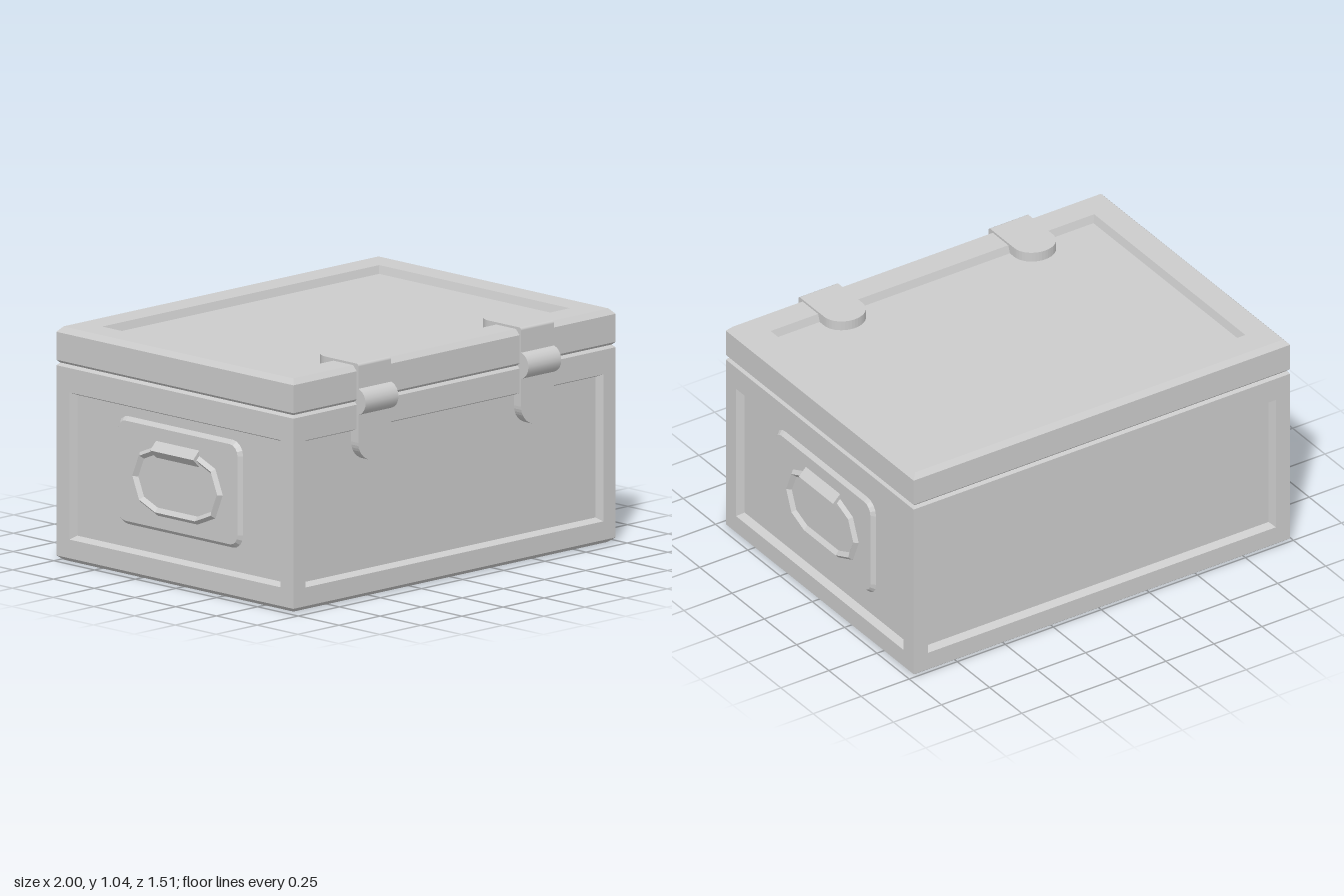
import * as THREE from 'three';

const flat = new THREE.MeshStandardMaterial({ color: 0xcccccc, flatShading: true });
const smooth = new THREE.MeshStandardMaterial({ color: 0xcccccc });

// Half width and half depth of the case
const W = 0.98, D = 0.7275;

// Directions a face can look in: (u, v, out) -> (x, y, z)
const FRONT = (u, v, w) => [u, v, w];
const BACK = (u, v, w) => [-u, v, -w];
const LEFT = (u, v, w) => [w, v, -u];
const RIGHT = (u, v, w) => [-w, v, u];
const TOP = (u, v, w) => [u, w, -v];
const BOTTOM = (u, v, w) => [u, -w, v];

// Counterclockwise rectangle with optional rounded corners, at distance w
function loop(hw, hh, cv, w, r = 0, n = 0) {
  const pts = [];
  for (let c = 0; c < 4; c++) {
    const sx = c === 0 || c === 3 ? 1 : -1, sy = c < 2 ? 1 : -1;
    for (let i = 0; i <= n; i++) {
      const a = (c + (n ? i / n : 0)) * Math.PI / 2;
      const p = [sx * (hw - r) + r * Math.cos(a), cv + sy * (hh - r) + r * Math.sin(a), w];
      const q = pts[pts.length - 1];
      if (!q || Math.hypot(p[0] - q[0], p[1] - q[1]) > 1e-5) pts.push(p);
    }
  }
  const a = pts[0], b = pts[pts.length - 1];
  if (pts.length > 4 && Math.hypot(a[0] - b[0], a[1] - b[1]) < 1e-5) pts.pop();
  return pts;
}

// Joins nested loops from the outside in, optionally capping the last
function inset(parent, name, dir, loops, cap = true) {
  const pos = [];
  const tri = (...ps) => ps.forEach((p) => pos.push(...dir(...p)));
  for (let k = 0; k + 1 < loops.length; k++) {
    const a = loops[k], b = loops[k + 1];
    a.forEach((p, i) => {
      const j = (i + 1) % a.length;
      tri(p, a[j], b[j]);
      tri(p, b[j], b[i]);
    });
  }
  const last = loops[loops.length - 1];
  if (cap) for (let i = 1; i + 1 < last.length; i++) tri(last[0], last[i], last[i + 1]);
  const geo = new THREE.BufferGeometry();
  geo.setAttribute('position', new THREE.Float32BufferAttribute(pos, 3));
  geo.computeVertexNormals();
  const mesh = new THREE.Mesh(geo, flat);
  mesh.name = name;
  parent.add(mesh);
}

function group(parent, name) {
  const g = new THREE.Group();
  g.name = name;
  parent.add(g);
  return g;
}

// Lower box with a sunken panel in each wall
function addBody(parent) {
  const g = group(parent, 'body');
  const y0 = 0.02, y1 = 0.863, cv = (y0 + y1) / 2, hh = (y1 - y0) / 2;
  const wall = (name, dir, half, out, panelHalf) => inset(g, name, dir, [
    loop(half, hh, cv, out),
    loop(panelHalf, 0.326, 0.429, out),
    loop(panelHalf - 0.014, 0.312, 0.429, out - 0.035),
  ]);
  wall('frontWall', FRONT, W, D, 0.905);
  wall('backWall', BACK, W, D, 0.905);
  wall('leftWall', LEFT, D, W, 0.6475);
  wall('rightWall', RIGHT, D, W, 0.6475);
  inset(g, 'base', BOTTOM, [loop(W, D, 0, -0.02), loop(W - 0.025, D - 0.025, 0, 0)]);
  inset(g, 'rim', TOP, [loop(W, D, 0, y1), loop(W - 0.012, D - 0.012, 0, 0.875)]);
}

// Lid with chamfered edges and a sunken top panel
function addLid(parent) {
  const g = group(parent, 'lid');
  const y0 = 0.887, y1 = 1.011, cv = (y0 + y1) / 2, hh = (y1 - y0) / 2;
  for (const [dir, half, out] of [[FRONT, W, D], [BACK, W, D], [LEFT, D, W], [RIGHT, D, W]])
    inset(g, 'lidEdge', dir, [loop(half, hh, cv, out)]);
  inset(g, 'lidUnderside', BOTTOM, [loop(W, D, 0, -y0), loop(W - 0.012, D - 0.012, 0, -0.875)]);
  inset(g, 'lidTop', TOP, [
    loop(W, D, 0, y1),
    loop(W - 0.022, D - 0.022, 0, 1.035),
    loop(0.842, 0.585, 0, 1.035),
    loop(0.83, 0.573, 0, 1.0),
  ]);
}

// Mounting plate, ring and ridge-shaped bracket on one end
function addHandle(parent, name, dir, side) {
  const g = group(parent, name);
  inset(g, 'handlePlate', dir, [
    loop(0.385, 0.24, 0.459, 0.944, 0.065, 4),
    loop(0.367, 0.222, 0.459, 0.963, 0.047, 4),
  ]);
  const ring = (r, w) => loop(0.122 + r, r, 0.447, w, r, 2);
  inset(g, 'handleRing', dir, [ring(0.158, 0.96), ring(0.138, 0.98), ring(0.116, 0.96)], false);
  const bracket = new THREE.Mesh(new THREE.CylinderGeometry(0.045, 0.045, 0.265, 4), flat);
  bracket.name = 'handleBracket';
  bracket.rotation.x = Math.PI / 2;
  bracket.position.set(side * 0.955, 0.585, 0);
  g.add(bracket);
}

// Strap end: straight at y = 0, rounded at y = -length
function tongue(length, depth) {
  const s = new THREE.Shape();
  s.moveTo(0.1, 0);
  s.lineTo(-0.1, 0);
  s.lineTo(-0.1, -length + 0.09);
  s.absellipse(0, -length + 0.09, 0.1, 0.09, Math.PI, 2 * Math.PI, false);
  return new THREE.ExtrudeGeometry(s, { depth, bevelEnabled: false, curveSegments: 10 });
}

// Clasp strap wrapping the front lid edge, with a round barrel
function addClasp(parent, name, x) {
  const g = group(parent, name);
  g.position.x = x;
  const front = D + 0.01, top = 1.045, r = 0.012;
  const add = (part, geo, mat, y, z) => {
    const m = new THREE.Mesh(geo, mat);
    m.name = part;
    m.position.set(0, y, z);
    g.add(m);
  };
  add('claspFront', tongue(top - r - 0.605, 0.05), flat, top - r, front - 0.05);
  add('claspTop', tongue(0.278, 0.05).rotateX(Math.PI / 2).rotateZ(Math.PI).rotateY(Math.PI)
    .rotateX(Math.PI), flat, 0, 0);
  // Lay the top strap flat with its rounded end pointing backwards
  const strap = g.children[1];
  strap.geometry = tongue(0.278, 0.05).rotateX(Math.PI / 2).translate(0, top, front - r);
  add('claspBend', new THREE.CylinderGeometry(r, r, 0.2, 16).rotateZ(Math.PI / 2), smooth, top - r, front - r);
  add('claspBarrel', new THREE.CylinderGeometry(0.06, 0.06, 0.2, 20).rotateZ(Math.PI / 2), smooth, 0.877, 0.7225);
}

export function createModel() {
  const model = new THREE.Group();
  model.name = 'storageCase';
  const box = group(model, 'case');
  box.position.z = -0.0275;
  addBody(box);
  addLid(box);
  addHandle(box, 'leftHandle', LEFT, 1);
  addHandle(box, 'rightHandle', RIGHT, -1);
  addClasp(box, 'leftClasp', 0.495);
  addClasp(box, 'rightClasp', -0.495);
  return model;
}
